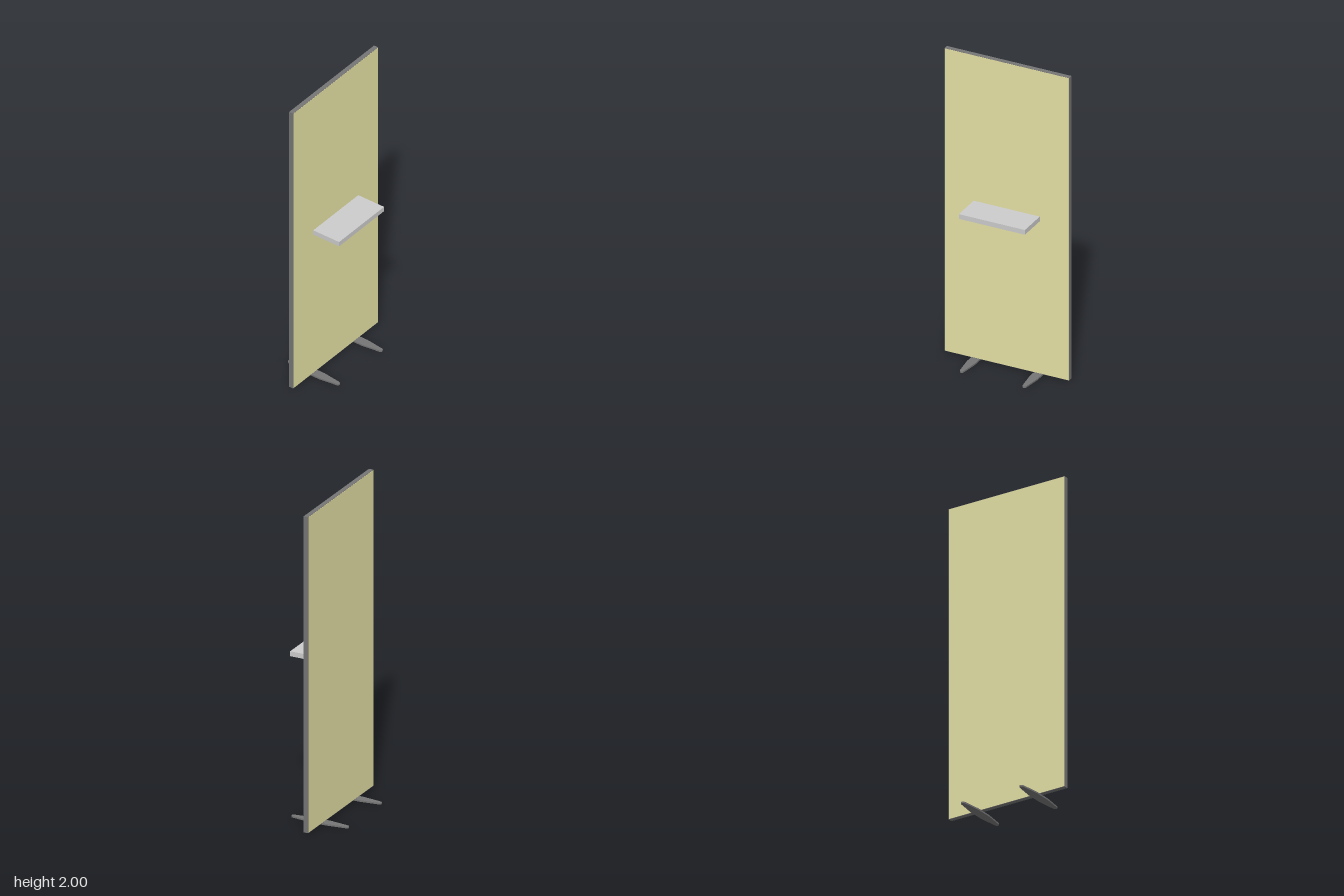
import * as THREE from 'three';

const dark = new THREE.MeshStandardMaterial({ color: 0x757575 });
const fabric = new THREE.MeshStandardMaterial({ color: 0xe5e1a5 });
const grey = new THREE.MeshStandardMaterial({ color: 0xcccccc });

// Box given by its min and max corners
function box(name, material, [x0, y0, z0], [x1, y1, z1]) {
  const mesh = new THREE.Mesh(new THREE.BoxGeometry(x1 - x0, y1 - y0, z1 - z0), material);
  mesh.position.set((x0 + x1) / 2, (y0 + y1) / 2, (z0 + z1) / 2);
  mesh.name = name;
  return mesh;
}

// Flat foot plate, tapering to a rounded tip at both ends
function footGeometry(height) {
  const half = [[0.028, 0.057], [0.0125, 0.176], [0.009, 0.184], [0.004, 0.187]];
  const back = half.map(([x, z]) => [x, z]);
  const right = [...half.map(([x, z]) => [x, -z]).reverse(), ...back];
  const outline = [...right, ...right.map(([x, z]) => [-x, -z])];
  const shape = new THREE.Shape(outline.map(([x, z]) => new THREE.Vector2(x, z)));
  return new THREE.ExtrudeGeometry(shape, { depth: height, bevelEnabled: false }).rotateX(-Math.PI / 2);
}

export function createModel() {
  const model = new THREE.Group();
  model.name = 'partitionScreen';

  const W = 0.407, bottom = 0.01, top = 2, back = -0.031, skin = 0.001;

  // Dark frame with a fabric face on each side
  model.add(box('frame', dark, [-W, bottom, back + skin], [W, top, -skin]));
  const inset = 0.002;
  for (const [name, z] of [['frontFabric', -skin], ['backFabric', back]]) {
    model.add(box(name, fabric, [-W + inset, bottom + inset, z], [W - inset, top - inset, z + skin]));
  }

  // Shelf on the front face
  model.add(box('shelf', grey, [-0.216, 1.012, 0], [0.216, 1.043, 0.189]));

  // Pair of floor feet
  const foot = footGeometry(bottom);
  for (const [name, side] of [['leftFoot', 1], ['rightFoot', -1]]) {
    const mesh = new THREE.Mesh(foot, dark);
    mesh.name = name;
    mesh.position.set(side * 0.205, 0, -0.003);
    model.add(mesh);
  }
  return model;
}
